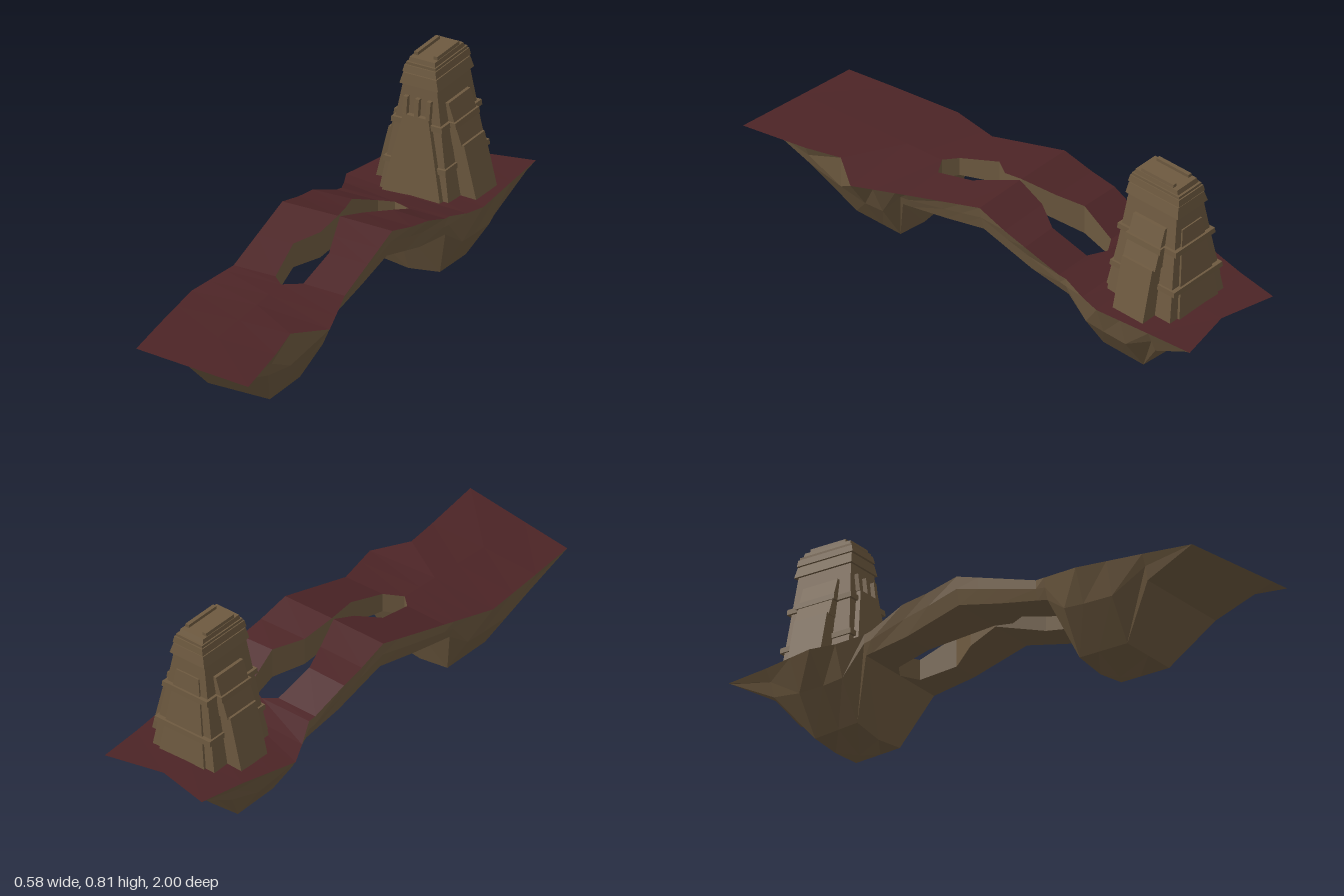
import * as THREE from 'three';

const brown = new THREE.MeshStandardMaterial({ color: 0x6e5a40, flatShading: true });
brown.name = 'rock brown';
const red = new THREE.MeshStandardMaterial({ color: 0x4c2426, flatShading: true });
red.name = 'dark red ground';

const { lerp, clamp } = THREE.MathUtils;

// Piecewise-linear curve through [z, value] points, held constant past its ends
function curve(...points) {
  return (z) => {
    const n = points.findIndex((p) => p[0] >= z);
    if (n === 0) return points[0][1];
    if (n < 0) return points[points.length - 1][1];
    const [a, b] = [points[n - 1], points[n]];
    return lerp(a[1], b[1], (z - a[0]) / (b[0] - a[0]));
  };
}

// Island outline, the gap through the bridge, and the side profile
const BACK = -0.95, FRONT = 0.968;
const STATIONS = [BACK, -0.82, -0.7, -0.6, -0.52, -0.43, -0.4, -0.26, -0.16, -0.04,
  0.05, 0.13, 0.29, 0.33, 0.41, 0.49, 0.61, 0.75, FRONT];
const outerEdge = {
  '-1': curve([BACK, 0.21], [-0.6, 0.295], [-0.43, 0.212], [-0.26, 0.225], [-0.04, 0.215],
    [0.29, 0.212], [0.49, 0.26], [FRONT, 0.21]),
  '1': curve([BACK, 0.22], [-0.6, 0.25], [-0.43, 0.215], [-0.26, 0.235], [-0.04, 0.222],
    [0.29, 0.23], [0.49, 0.29], [0.61, 0.205], [FRONT, 0.27]),
};
const gapEdge = {
  '-1': curve([-0.43, 0], [-0.4, -0.05], [-0.26, -0.07], [-0.04, 0.006], [0.05, -0.01],
    [0.13, -0.07], [0.29, -0.045], [0.33, 0]),
  '1': curve([-0.43, 0], [-0.4, 0.075], [-0.26, 0.095], [-0.16, 0.035], [-0.04, 0.014],
    [0.13, 0.072], [0.29, 0.065], [0.33, 0]),
};
const crest = curve([BACK, 0.3], [-0.52, 0.312], [-0.4, 0.335], [-0.26, 0.395], [-0.16, 0.412],
  [-0.04, 0.443], [0.13, 0.39], [0.29, 0.34], [0.49, 0.328], [FRONT, 0.3]);
const keel = curve([BACK, 0.3], [-0.82, 0.205], [-0.7, 0.045], [-0.52, 0.055], [-0.43, 0.255],
  [-0.26, 0.28], [-0.04, 0.34], [0.13, 0.3], [0.33, 0.26], [0.41, 0.05], [0.61, 0.05],
  [0.75, 0.22], [FRONT, 0.3]);

// The keel centre dips to a point under each lobe
const tipDrop = (z) => 0.05 * Math.max(0, 1 - Math.min(Math.abs(z + 0.6), Math.abs(z - 0.49)) / 0.12);

// One half of a cross-section: inner top, outer top, waist, keel edge, keel centre
function halfRing(z, side) {
  const outer = outerEdge[side](z), inner = gapEdge[side](z);
  const low = keel(z);
  const top = Math.max(low, crest(z) - 0.25 * Math.max(0, outer - 0.21));
  const point = (x, y) => {
    // The front edge runs askew and the back edge is notched
    const shift = z === FRONT ? 0.12 * x : z === BACK ? -0.23 * Math.abs(x) : 0;
    return [x, y, z + shift];
  };
  return [
    point(inner, crest(z)),
    point(side * outer, top),
    point(side * Math.min(outer, 0.214), lerp(low, top, 0.55)),
    point(side * clamp(0.1 + 0.46 * low, 0, 0.2), low),
    point(inner, low - tipDrop(z)),
  ];
}

function meshFrom(name, positions, material) {
  const g = new THREE.BufferGeometry();
  g.setAttribute('position', new THREE.Float32BufferAttribute(positions, 3));
  g.computeVertexNormals();
  const m = new THREE.Mesh(g, material);
  m.name = name;
  return m;
}

function buildIsland() {
  const ground = [], rock = [];
  for (const side of [-1, 1]) {
    for (let s = 0; s < STATIONS.length - 1; s++) {
      const A = halfRing(STATIONS[s], side), B = halfRing(STATIONS[s + 1], side);
      const open = [A, B].some((ring) => ring[0][0] !== 0);
      for (let k = 0; k < 5; k++) {
        if (k === 4 && !open) continue; // inner wall only beside the gap
        const n = (k + 1) % 5;
        const [a, b, c, d] = side > 0 ? [A[k], B[k], B[n], A[n]] : [A[n], B[n], B[k], A[k]];
        (k === 0 ? ground : rock).push(...a, ...b, ...c, ...a, ...c, ...d);
      }
    }
  }
  const island = new THREE.Group();
  island.name = 'island';
  island.add(meshFrom('ground', ground, red), meshFrom('rockUnderside', rock, brown));
  return island;
}

// Tapered block; each level is [y, xMin, xMax, zMin, zMax]
function block(name, lo, hi) {
  const g = new THREE.BoxGeometry(1, 1, 1);
  const p = g.attributes.position;
  for (let i = 0; i < p.count; i++) {
    const l = p.getY(i) > 0 ? hi : lo;
    p.setXYZ(i, p.getX(i) > 0 ? l[2] : l[1], l[0], p.getZ(i) > 0 ? l[4] : l[3]);
  }
  g.computeVertexNormals();
  const m = new THREE.Mesh(g, brown);
  m.name = name;
  return m;
}

// Block symmetric in x: height, half width, back and front at each level
const centred = (name, y0, w0, b0, f0, y1, w1, b1, f1) =>
  block(name, [y0, -w0, w0, b0, f0], [y1, -w1, w1, b1, f1]);

function buildTower() {
  const t = new THREE.Group();
  t.name = 'tower';
  t.position.x = 0.004;
  // Body and stepped top
  t.add(
    centred('towerBody', 0.295, 0.138, -0.84, -0.55, 0.7, 0.068, -0.81, -0.59),
    centred('lowerTier', 0.7, 0.077, -0.822, -0.582, 0.74, 0.066, -0.815, -0.588),
    centred('middleTier', 0.745, 0.067, -0.818, -0.585, 0.77, 0.062, -0.815, -0.59),
    centred('tierCore', 0.735, 0.06, -0.81, -0.595, 0.78, 0.058, -0.81, -0.595),
    centred('upperTier', 0.77, 0.055, -0.805, -0.6, 0.796, 0.05, -0.795, -0.605),
  );
  // Front and back panels, with upright fins above the front one
  t.add(
    centred('frontPanel', 0.295, 0.118, -0.6, -0.528, 0.597, 0.05, -0.62, -0.562),
    centred('backPanel', 0.295, 0.1, -0.85, -0.8, 0.64, 0.05, -0.82, -0.78),
  );
  for (const x of [-0.046, 0, 0.046]) {
    t.add(block('frontFin', [0.595, x - 0.008, x + 0.008, -0.62, -0.562],
      [0.66, x - 0.008, x + 0.008, -0.62, -0.57]));
  }
  // Bands around the body
  t.add(
    centred('lowerBand', 0.405, 0.125, -0.848, -0.552, 0.425, 0.123, -0.847, -0.553),
    centred('upperBand', 0.555, 0.102, -0.835, -0.566, 0.575, 0.1, -0.834, -0.567),
  );
  // Side buttresses in two steps, and crown rails
  for (const s of [-1, 1]) {
    const span = (a, b) => [Math.min(s * a, s * b), Math.max(s * a, s * b)];
    const sided = (name, inner, y0, out0, y1, out1, back, front) => t.add(block(name,
      [y0, ...span(inner, out0), back, front], [y1, ...span(inner, out1), back, front]));
    sided('lowerButtress', 0.05, 0.295, 0.2, 0.495, 0.15, -0.77, -0.632);
    sided('upperButtress', 0.04, 0.49, 0.143, 0.642, 0.09, -0.775, -0.63);
    sided('buttressBand', 0.04, 0.553, 0.125, 0.575, 0.121, -0.782, -0.622);
    sided('crownRail', 0.031, 0.79, 0.049, 0.808, 0.046, -0.775, -0.628);
  }
  return t;
}

export function createModel() {
  const model = new THREE.Group();
  model.name = 'floatingIslandWithTower';
  model.add(buildIsland(), buildTower());
  return model;
}
